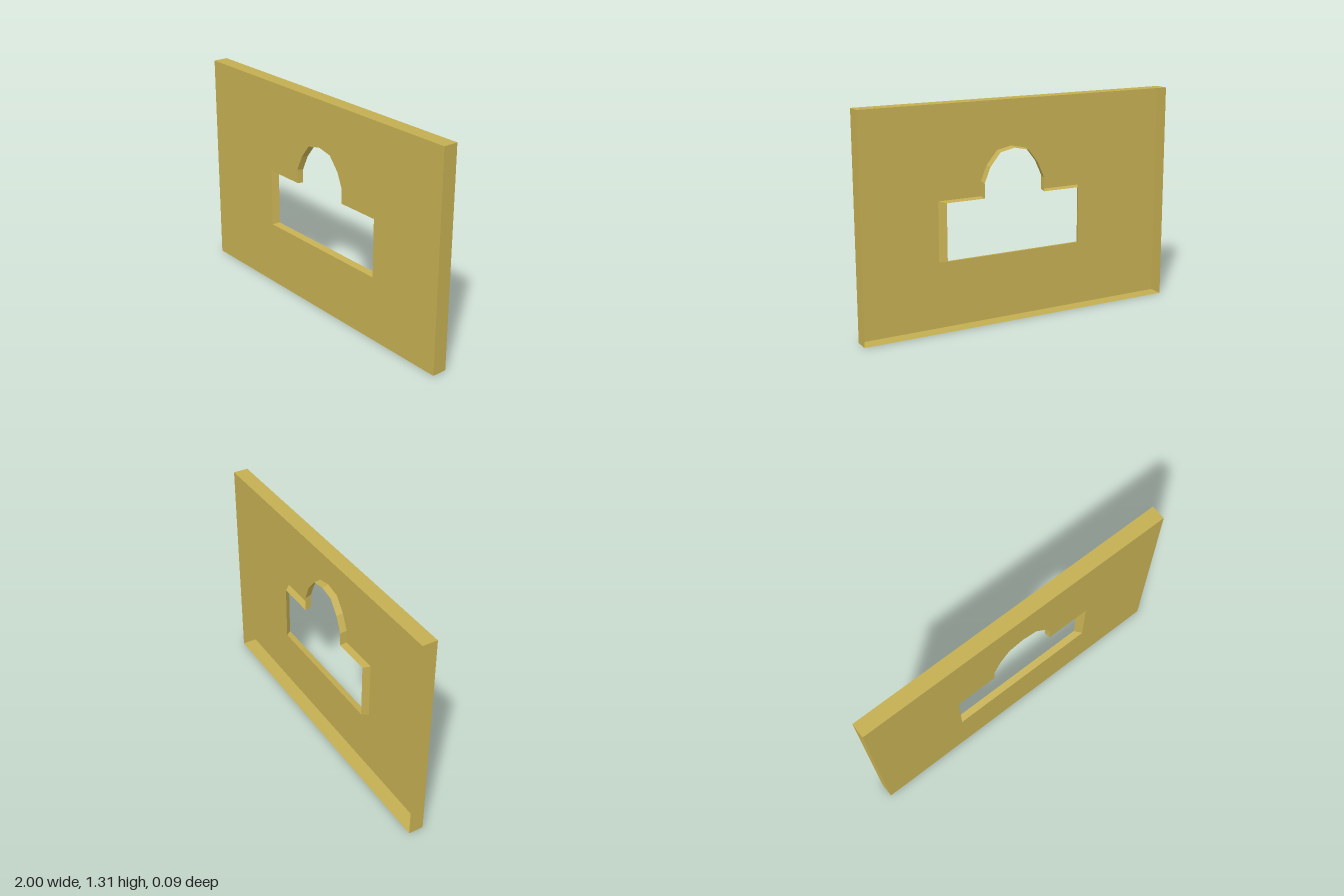
import * as THREE from 'three';

const FRONT = 0.045, BACK = -0.045;
const material = new THREE.MeshStandardMaterial({ color: 0xc4ae52, side: THREE.DoubleSide });

// Closed band of flat quads joining two outlines at two depths
function band(name, a, za, b, zb) {
  const pos = [];
  a.forEach((p, i) => {
    const j = (i + 1) % a.length;
    const p0 = [...p, za], p1 = [...a[j], za], q0 = [...b[i], zb], q1 = [...b[j], zb];
    pos.push(...p0, ...q0, ...p1, ...p1, ...q0, ...q1);
  });
  const g = new THREE.BufferGeometry();
  g.setAttribute('position', new THREE.Float32BufferAttribute(pos, 3));
  g.computeVertexNormals();
  const mesh = new THREE.Mesh(g, material);
  mesh.name = name;
  return mesh;
}

export function createModel() {
  const group = new THREE.Group();
  group.name = 'wallPanel';

  // Counter-clockwise panel outline
  const outer = [[-1, 0], [1, 0], [1, 1.31], [-1, 1.31]];

  // Arched window opening, listed clockwise: sill, left jamb, arch, right jamb
  const arch = [[-0.168, 0.742], [-0.168, 0.825], [-0.125, 0.92], [-0.062, 1.0], [0.03, 1.02],
    [0.122, 1.0], [0.188, 0.92], [0.225, 0.83], [0.225, 0.742]];
  const inner = [[0.465, 0.402], [-0.405, 0.402], [-0.405, 0.742], ...arch, [0.465, 0.742]];

  // The opening is slightly wider at the face, mostly at the side jambs
  const archFront = arch.map(([x, y]) => [0.03 + (x - 0.03) * 1.02, y + 0.007]);
  const opening = [[0.5, 0.394], [-0.425, 0.394], [-0.425, 0.749], ...archFront, [0.5, 0.749]];

  // Front sheet with the window cut out
  const toVec = (p) => new THREE.Vector2(...p);
  const shape = new THREE.Shape(outer.map(toVec));
  shape.holes.push(new THREE.Path(opening.map(toVec)));
  const sheet = new THREE.Mesh(new THREE.ShapeGeometry(shape), material);
  sheet.name = 'frontSheet';
  sheet.position.z = FRONT;

  // Rim folded back around the panel (open at the back) and lip around the window
  group.add(
    sheet,
    band('outerRim', outer, FRONT, outer, BACK),
    band('windowLip', opening, FRONT, inner, 0.005),
  );
  return group;
}
